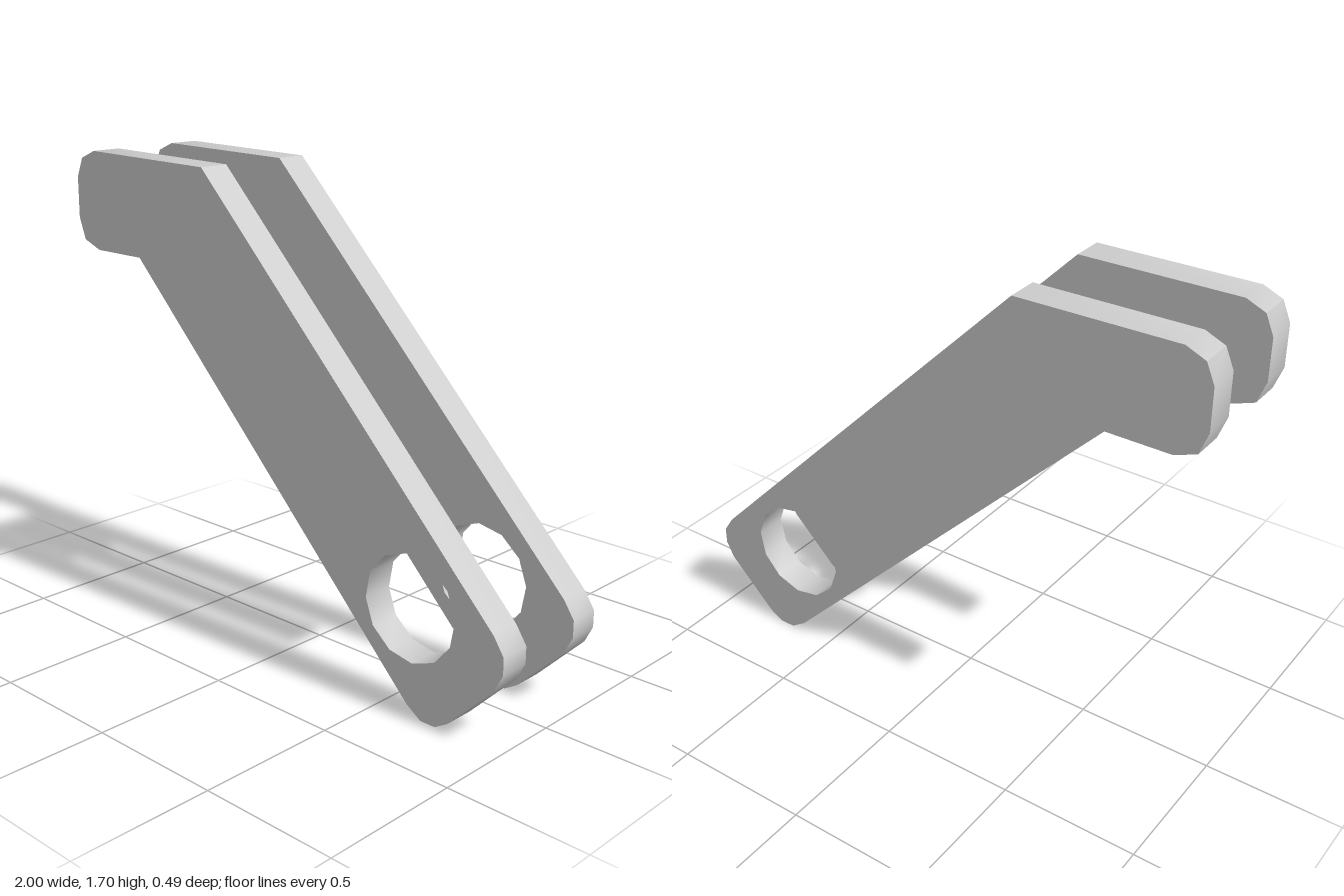
import * as THREE from 'three';
import { toCreasedNormals } from 'three/addons/utils/BufferGeometryUtils.js';

const v2 = ([x, y]) => new THREE.Vector2(x, y);

// Bent side plate with clipped corners and a pin hole
function plateGeometry(depth) {
  const shape = new THREE.Shape([
    [-1, 1.45], [-0.97, 1.37], [-0.89, 1.34], [-0.66, 1.34],
    [0.62, 0.04], [0.68, 0], [0.74, 0], [0.79, 0.03],
    [0.97, 0.21], [1, 0.27], [1, 0.33], [0.96, 0.39],
    [-0.32, 1.69], [-0.9, 1.7], [-0.97, 1.67], [-1, 1.6],
  ].map(v2));
  const hole = [];
  for (let i = 0; i < 12; i++) {
    const a = -i * Math.PI / 6 + 0.08;
    hole.push(v2([0.625 + 0.186 * Math.cos(a), 0.375 + 0.186 * Math.sin(a)]));
  }
  shape.holes.push(new THREE.Path(hole));
  const geometry = new THREE.ExtrudeGeometry(shape, { depth, bevelEnabled: false });
  geometry.translate(0, 0, -depth / 2);
  return toCreasedNormals(geometry, 0.7);
}

export function createModel() {
  const group = new THREE.Group();
  group.name = 'bentArm';

  // Pair of matching plates
  const plateMaterial = new THREE.MeshStandardMaterial({ color: 0xcccccc });
  const geometry = plateGeometry(0.115);
  for (const [name, z] of [['frontPlate', 0.185], ['backPlate', -0.185]]) {
    const plate = new THREE.Mesh(geometry, plateMaterial);
    plate.name = name;
    plate.position.z = z;
    group.add(plate);
  }

  // Open stepped tube lying between the plates, wide end up
  const profile = [[0.11, 0], [0.11, 0.42], [0.08, 0.42], [0.08, 1.358]].map(v2);
  const tube = new THREE.Mesh(
    new THREE.LatheGeometry(profile, 8),
    new THREE.MeshStandardMaterial({ color: 0xcccccc, flatShading: true, side: THREE.DoubleSide }),
  );
  tube.name = 'steppedTube';
  tube.position.set(-0.525, 1.52, 0);
  tube.rotation.z = -Math.PI * 0.75;
  group.add(tube);

  return group;
}
